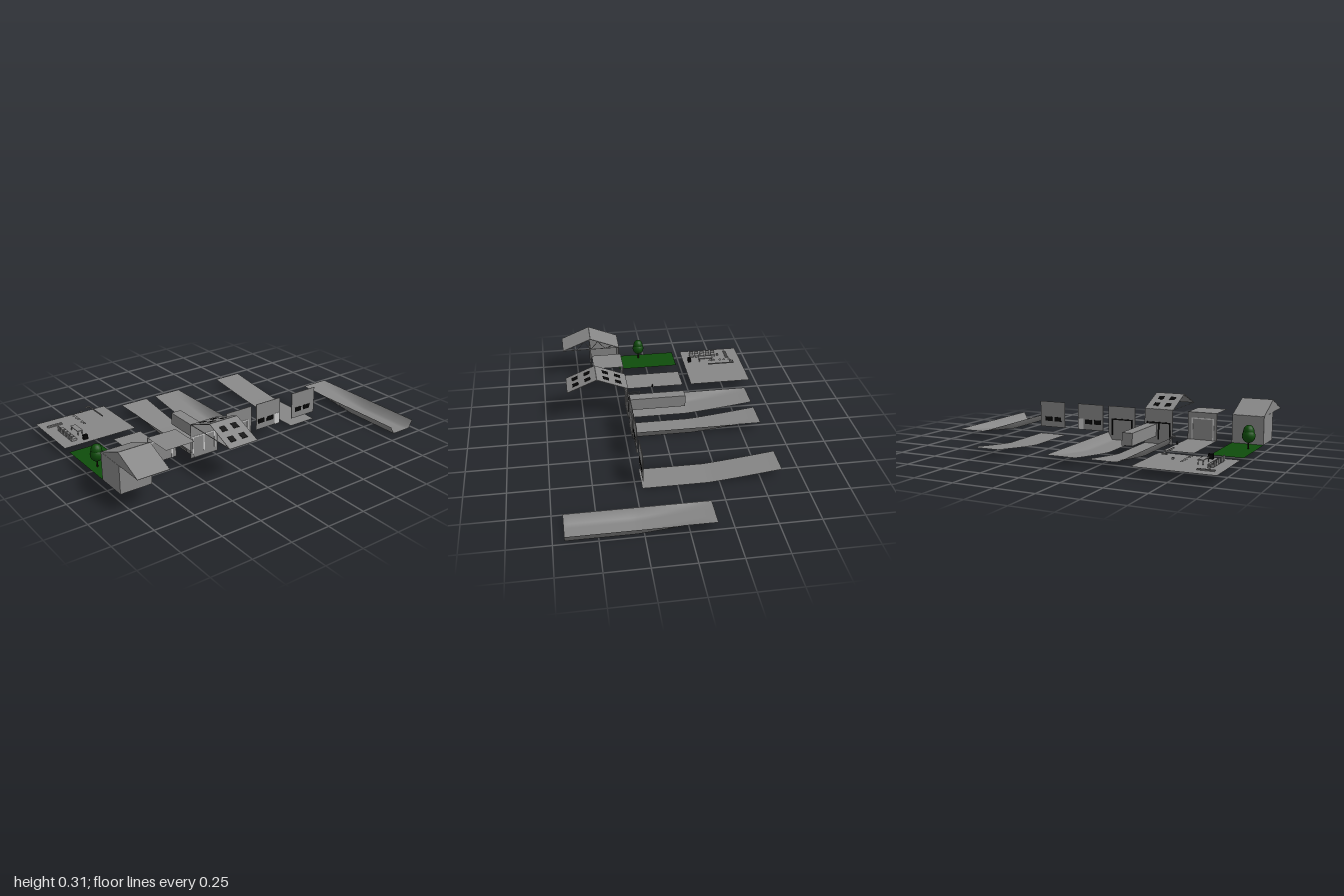
import * as THREE from 'three';

const material = (color) => new THREE.MeshStandardMaterial({ color, side: THREE.DoubleSide });
const grey = material(0x878787), pale = material(0xcccccc), black = material(0x050505), grass = material(0x0f4d0b);
const WALL = 0.205, RIDGE = 0.405, EAVE = 0.6, GROUND = 0.05, TOP = 0.225, PEAK = 0.305;

function add(parent, name, geometry, mat = grey) {
  const mesh = new THREE.Mesh(geometry, mat);
  mesh.name = name;
  parent.add(mesh);
  return mesh;
}

// Box given by its minimum and maximum corners
function box(parent, name, x0, x1, y0, y1, z0, z1, mat) {
  const mesh = add(parent, name, new THREE.BoxGeometry(x1 - x0, y1 - y0, z1 - z0), mat);
  mesh.position.set((x0 + x1) / 2, (y0 + y1) / 2, (z0 + z1) / 2);
  return mesh;
}

// Thin rod between two points
function rod(parent, name, a, b, r = 0.0025, mat = grey) {
  const p = new THREE.Vector3(...a), q = new THREE.Vector3(...b);
  return add(parent, name, new THREE.TubeGeometry(new THREE.LineCurve3(p, q), 1, r, 5), mat);
}

// Flat sheet at a given height
function sheet(parent, name, x0, x1, z0, z1, y, mat) {
  const mesh = add(parent, name, new THREE.PlaneGeometry(x1 - x0, z1 - z0).rotateX(-Math.PI / 2), mat);
  mesh.position.set((x0 + x1) / 2, y, (z0 + z1) / 2);
}

// Sloping bed that levels out, with an optional steep bank on either long edge
function bed(parent, name, x0, zMid, bankBack, bankFront) {
  const rows = [-0.097, -0.07, -0.035, 0.035, 0.07, 0.097];
  const geo = new THREE.PlaneGeometry(0.84, 1, 28, rows.length - 1).rotateX(-Math.PI / 2);
  const pos = geo.attributes.position;
  for (let i = 0; i < pos.count; i++) {
    const row = Math.floor(i / 29), z = rows[row];
    const u = pos.getX(i) + 0.42;
    const y = GROUND * Math.pow(Math.max(0, 1 - u / 0.45), 1.15);
    const raised = (row === 0 && bankBack) || (row === rows.length - 1 && bankFront);
    pos.setXYZ(i, pos.getX(i), raised ? GROUND : y, z);
  }
  geo.computeVertexNormals();
  add(parent, name, geo).position.set(x0 + 0.42, 0, zMid);
}

// Upright wall crossing x = WALL
function wall(parent, z0, z1, y0 = GROUND) {
  box(parent, 'wall', WALL - 0.002, WALL + 0.002, y0, TOP, z0, z1);
}

// Portal frame on both faces of a wall: outer frame material as given, inner frame pale
function portal(parent, z0, z1, y0, y1, outerX, outerMat, mullion = false) {
  for (const [x0, x1, mat] of [[outerX, 0.203, outerMat], [0.207, 0.209, pale]]) {
    const w = 0.008;
    box(parent, 'doorPost', x0, x1, y0, y1, z0, z0 + w, mat);
    box(parent, 'doorPost', x0, x1, y0, y1, z1 - w, z1, mat);
    box(parent, 'doorHead', x0, x1, y1 - w, y1, z0, z1, mat);
    if (mullion) box(parent, 'mullion', x0, x1, y0, y1, (z0 + z1 - w) / 2, (z0 + z1 + w) / 2, mat);
  }
}

// Pitched roof of two thin sheets, with a truss at one end
function roof(parent, z0, z1, trussZ, lattice) {
  const half = RIDGE - WALL, rise = PEAK - TOP;
  for (const side of [-1, 1]) {
    const end = side < 0 ? WALL : EAVE;
    const slope = add(parent, 'roofSlope', new THREE.BoxGeometry(Math.hypot(end - RIDGE, rise), 0.003, z1 - z0));
    slope.position.set((end + RIDGE) / 2, (PEAK + TOP) / 2, (z0 + z1) / 2);
    slope.rotation.z = -side * Math.atan2(rise, Math.abs(end - RIDGE));
  }
  const height = (x) => PEAK - rise * Math.min(1, Math.abs(x - RIDGE) / half);
  const step = (EAVE - WALL) / 8;
  rod(parent, 'trussChord', [WALL, TOP, trussZ], [EAVE, TOP, trussZ]);
  for (let i = 0; i < 8; i++) {
    const a = WALL + i * step, b = a + step;
    const at = (x, up) => [x, up ? height(x) - 0.002 : TOP, trussZ];
    rod(parent, 'trussTopChord', at(a, true), at(b, true));
    if (lattice) rod(parent, 'trussBrace', at(a, i % 2 === 1), at(b, i % 2 === 0));
  }
}

export function createModel() {
  const model = new THREE.Group();
  const section = (name) => {
    const g = new THREE.Group();
    g.name = name;
    model.add(g);
    return g;
  };

  // Separate channel at the back
  bed(section('backChannel'), 'channel', -0.155, -0.903, true, true);

  // Window wall with a plain sloping bed
  const far = section('plainBedSection');
  bed(far, 'slopingBed', -0.63, -0.475, false, false);
  wall(far, -0.57, -0.38);
  for (const z of [-0.435, -0.505])
    box(far, 'window', 0.201, 0.209, 0.09, 0.12, z - 0.026, z + 0.026, black);

  // Free-standing wall with two windows and a pale door
  const free = section('freeWall');
  wall(free, -0.28, -0.09);
  for (const z of [-0.13, -0.2])
    box(free, 'window', 0.201, 0.209, 0.09, 0.12, z - 0.026, z + 0.026, black);
  box(free, 'door', 0.201, 0.209, GROUND, 0.125, -0.273, -0.237, pale);

  // Bed banked at the back, with a portal wall
  const portalPart = section('portalSection');
  bed(portalPart, 'bankedBed', -0.63, 0.047, true, false);
  wall(portalPart, -0.05, 0.144, 0);
  portal(portalPart, -0.025, 0.125, 0.03, 0.142, 0.197, black);

  // Bed banked at the front, with the skylight roof
  const hall = section('skylightHall');
  bed(hall, 'bankedBed', -0.63, 0.309, false, true);
  wall(hall, 0.212, 0.406, 0);
  portal(hall, 0.228, 0.393, 0.03, 0.142, 0.197, black, true);
  box(hall, 'counter', -0.18, 0.2, GROUND, 0.13, 0.225, 0.295);
  roof(hall, 0.212, 0.408, 0.404, false);
  for (const x of [0.262, 0.342, 0.462, 0.542])
    for (const z of [0.271, 0.351]) {
      const pane = add(hall, 'skylight', new THREE.BoxGeometry(0.042, 0.005, 0.038), black);
      pane.position.set(x, PEAK - 0.4 * Math.abs(x - RIDGE), z);
      pane.rotation.z = (x < RIDGE ? 1 : -1) * Math.atan(0.4);
    }

  // Hooped rail in front of the hall
  const rail = section('rail');
  for (const x of [0.1, 0.19]) rod(rail, 'railPost', [x, 0.048, 0.428], [x, 0.068, 0.428], 0.003);
  rod(rail, 'railTop', [0.1, 0.068, 0.428], [0.19, 0.068, 0.428], 0.003);
  rod(rail, 'railBar', [0.1, 0.058, 0.428], [0.19, 0.058, 0.428], 0.002);

  // Flat-roofed section with a doorway
  const flat = section('flatRoofSection');
  sheet(flat, 'floor', -0.21, WALL, 0.51, 0.702, GROUND);
  sheet(flat, 'flatRoof', WALL, RIDGE, 0.51, 0.702, TOP);
  wall(flat, 0.51, 0.702);
  portal(flat, 0.535, 0.682, GROUND, 0.19, 0.201, pale);
  const figure = add(flat, 'figure', new THREE.CylinderGeometry(0.002, 0.006, 0.02, 8), black);
  figure.position.set(0.003, 0.06, 0.515);

  // House with garden, its back left open to show the truss
  const house = section('house');
  sheet(house, 'lawn', -0.21, WALL, 0.8, 1, GROUND, grass);
  wall(house, 0.8, 1);
  box(house, 'innerWall', RIDGE - 0.002, RIDGE + 0.002, GROUND, TOP, 0.8, 1);
  box(house, 'frontWall', WALL, RIDGE, GROUND, TOP, 0.996, 1);
  const gable = new THREE.Shape([[WALL, TOP], [EAVE, TOP], [RIDGE, PEAK]].map((p) => new THREE.Vector2(...p)));
  add(house, 'gable', new THREE.ShapeGeometry(gable)).position.z = 0.999;
  roof(house, 0.8, 1, 0.803, true);

  // Garden tree with a two-lobed crown
  const tree = section('tree');
  add(tree, 'trunk', new THREE.CylinderGeometry(0.004, 0.005, 0.06, 8), material(0x20150c)).position.set(0.05, 0.08, 0.95);
  for (const [r, h, y] of [[0.04, 0.043, 0.131], [0.033, 0.038, 0.159]]) {
    const crown = add(tree, 'crown', new THREE.SphereGeometry(r, 14, 10), grass);
    crown.position.set(0.05, y, 0.95);
    crown.scale.y = h / r;
  }

  // Terrace with loose furniture
  const terrace = section('terrace');
  sheet(terrace, 'terraceFloor', -0.69, -0.27, 0.51, 1, GROUND);
  for (let i = 0; i < 5; i++) {
    const x = -0.517 + i * 0.04;
    box(terrace, 'seat', x, x + 0.028, 0.053, 0.066, 0.89, 0.928);
    box(terrace, 'seatBack', x, x + 0.028, 0.066, 0.085, 0.923, 0.928);
    for (const dx of [0.001, 0.025])
      box(terrace, 'seatLeg', x + dx, x + dx + 0.002, GROUND, 0.053, 0.892, 0.926);
  }
  box(terrace, 'tableTop', -0.485, -0.385, 0.074, 0.079, 0.82, 0.856);
  for (const x of [-0.483, -0.391])
    for (const z of [0.822, 0.85]) box(terrace, 'tableLeg', x, x + 0.004, GROUND, 0.075, z, z + 0.004);
  box(terrace, 'cabinet', -0.325, -0.305, 0.051, 0.08, 0.825, 0.855, black);
  box(terrace, 'smallStool', -0.545, -0.532, GROUND, 0.062, 0.9, 0.915);
  for (const x of [-0.61, -0.603, -0.596])
    box(terrace, 'benchSlat', x, x + 0.005, GROUND, 0.057, 0.86, 0.96);
  box(terrace, 'longBar', -0.605, -0.42, 0.114, 0.122, 0.657, 0.662);
  box(terrace, 'barReturn', -0.605, -0.6, 0.114, 0.122, 0.657, 0.69);
  box(terrace, 'smallBlock', -0.605, -0.59, 0.092, 0.102, 0.715, 0.728);
  for (const x of [-0.598, -0.56, -0.53, -0.485, -0.455])
    add(terrace, 'hangingLamp', new THREE.ConeGeometry(0.011, 0.012, 6)).position.set(x, 0.089, 0.773);

  return model;
}
